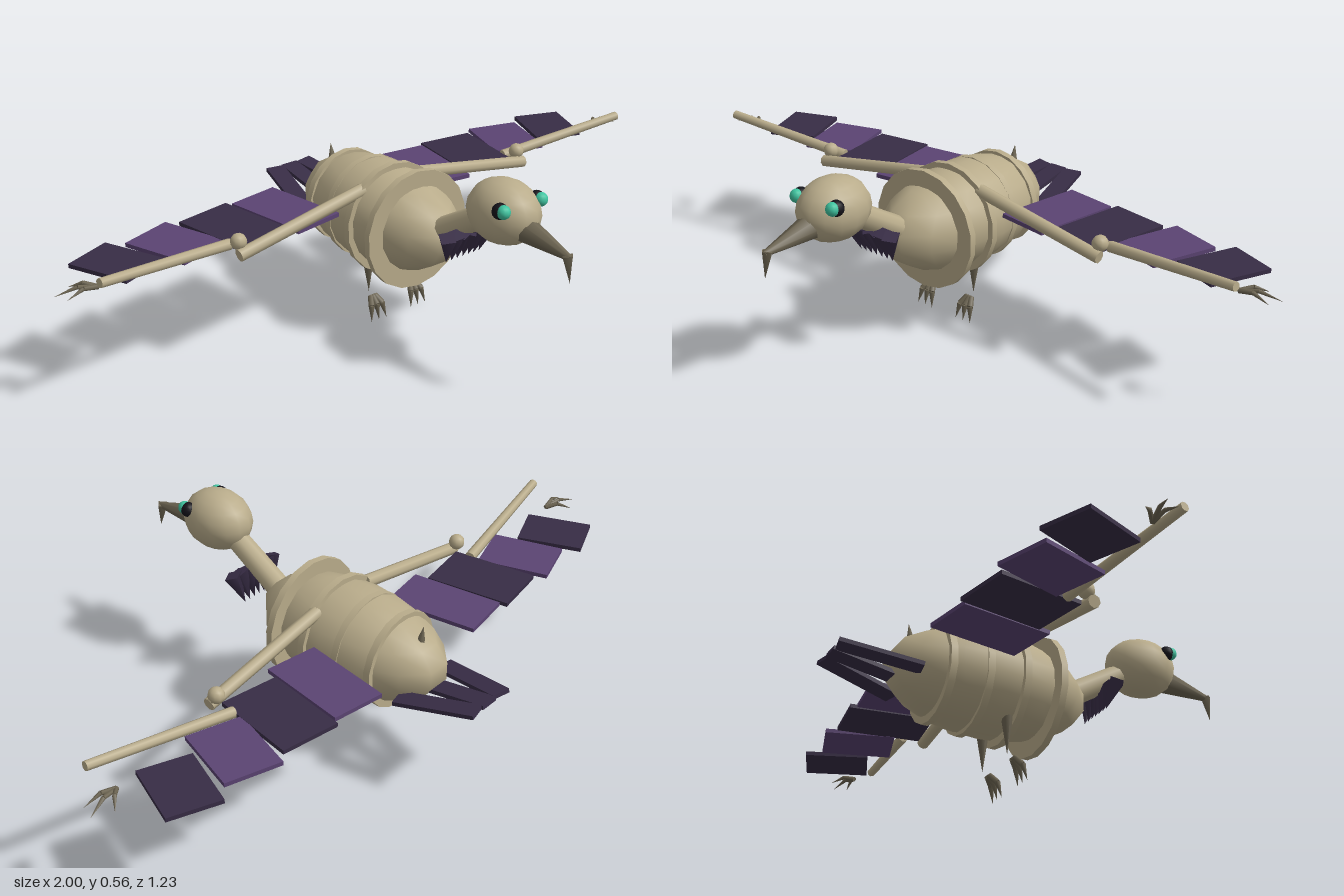
import * as THREE from 'three';

const mat = (name, color) => {
  const m = new THREE.MeshStandardMaterial({ color });
  m.name = name;
  return m;
};

export function createModel() {
  const bone = mat('bone', 0xb9ac8b);
  const horn = mat('horn', 0x6e6653);
  const darkFeather = mat('dark feather', 0x382d46);
  const purpleFeather = mat('purple feather', 0x5b4473);
  const black = mat('socket black', 0x15131a);
  const green = mat('eye green', 0x3fc4a0);

  const model = new THREE.Group();
  model.name = 'bird';
  const V = (x, y, z) => new THREE.Vector3(x, y, z);

  const add = (name, geometry, material, x = 0, y = 0, z = 0) => {
    const mesh = new THREE.Mesh(geometry, material);
    mesh.name = name;
    mesh.position.set(x, y, z);
    model.add(mesh);
    return mesh;
  };

  // Tapered rod running from a to b
  const rod = (name, a, b, ra, rb, material, sides = 8) => {
    const dir = b.clone().sub(a);
    const mid = a.clone().add(b).multiplyScalar(0.5);
    const mesh = add(name, new THREE.CylinderGeometry(rb, ra, dir.length(), sides), material, mid.x, mid.y, mid.z);
    mesh.quaternion.setFromUnitVectors(V(0, 1, 0), dir.normalize());
    return mesh;
  };

  // Body with rib hoops
  const body = add('body', new THREE.SphereGeometry(1, 14, 9), bone, 0, 0.305, -0.15);
  body.scale.set(0.156, 0.148, 0.307);
  [[0.005, 0.175], [-0.1, 0.165], [-0.205, 0.152], [-0.31, 0.14]].forEach(([z, r]) => {
    const hoop = add('ribHoop', new THREE.CylinderGeometry(r, r, 0.02, 18), bone, 0, 0.301, z);
    hoop.rotation.x = Math.PI / 2;
  });
  rod('backSpine', V(0, 0.39, -0.38), V(0, 0.438, -0.387), 0.012, 0, horn, 6);

  // Neck and head
  rod('neck', V(0, 0.32, 0.09), V(0, 0.45, 0.305), 0.036, 0.033, bone, 10);
  const head = add('head', new THREE.SphereGeometry(1, 14, 10), bone, 0, 0.478, 0.36);
  head.scale.set(0.088, 0.088, 0.11);

  // Hooked beak
  rod('beak', V(0, 0.455, 0.44), V(0, 0.432, 0.605), 0.036, 0.008, horn, 8);
  rod('beakHook', V(0, 0.437, 0.594), V(0, 0.364, 0.606), 0.018, 0, horn, 4);

  // Throat ruff: a row of pointed feathers
  for (let i = -3; i <= 3; i++) {
    const x = i * 0.026;
    rod('throatFeather', V(x, 0.375, 0.23), V(x * 0.75, 0.288, 0.203), 0.028, 0, darkFeather, 4);
  }

  // Middle tail feather
  const tailFeather = (x0, x1) => {
    const a = V(x0, 0.261, -0.385), b = V(x1, 0.3, -0.608);
    const mid = a.clone().add(b).multiplyScalar(0.5);
    const mesh = add('tailFeather', new THREE.BoxGeometry(0.056, 0.012, a.distanceTo(b)), darkFeather, mid.x, mid.y, mid.z);
    mesh.lookAt(a);
  };
  tailFeather(0, 0);

  // Wing feathers: centre x, centre z, width, length, sweep angle, material
  const feathers = [
    [0.253, -0.265, 0.157, 0.27, 0.15, purpleFeather],
    [0.426, -0.267, 0.172, 0.25, 0.16, darkFeather],
    [0.604, -0.28, 0.16, 0.207, 0.31, purpleFeather],
    [0.784, -0.278, 0.148, 0.19, 0.38, darkFeather],
  ];

  for (const s of [1, -1]) {
    // Eye and socket
    add('eyeSocket', new THREE.SphereGeometry(0.022, 12, 8), black, s * 0.064, 0.513, 0.414);
    add('eye', new THREE.SphereGeometry(0.019, 12, 8), green, s * 0.065, 0.515, 0.428);

    // Wing bones
    rod('upperWingBone', V(s * 0.1, 0.41, -0.105), V(s * 0.513, 0.334, -0.105), 0.019, 0.018, bone);
    add('wingElbow', new THREE.SphereGeometry(0.023, 10, 8), bone, s * 0.502, 0.366, -0.122);
    rod('outerWingBone', V(s * 0.497, 0.337, -0.176), V(s * 0.92, 0.385, -0.105), 0.016, 0.013, bone);

    // Flat wing feathers
    feathers.forEach(([x, z, w, l, angle, material], i) => {
      const f = add('wingFeather', new THREE.BoxGeometry(w, 0.012, l), material, s * x, 0.336 - i * 0.001, z);
      f.rotation.y = -s * angle;
    });

    // Wing tip claws
    [[0.946, -0.233], [0.998, -0.205], [0.982, -0.165]].forEach(([x, z]) => {
      const knee = V(s * (0.893 + (x - 0.893) * 0.45), 0.348, -0.174 + (z + 0.174) * 0.45);
      rod('wingClaw', V(s * 0.89, 0.338, -0.176), knee, 0.007, 0.006, horn, 6);
      rod('wingClawTip', knee, V(s * x, 0.332, z), 0.006, 0, horn, 6);
    });

    // Outer tail feather
    tailFeather(s * 0.1, s * 0.052);

    // Leg and curved toes
    rod('leg', V(s * 0.073, 0.19, -0.12), V(s * 0.073, 0.078, -0.119), 0.018, 0, horn, 8);
    [-0.027, 0, 0.027].forEach((dx) => {
      const root = V(s * 0.073 + dx * 0.3, 0.07, -0.1);
      const knee = V(s * 0.073 + dx * 0.7, 0.05, -0.082);
      rod('toe', V(root.x, 0.074, -0.103), root, 0.006, 0.008, horn, 6);
      rod('toe', root, knee, 0.008, 0.009, horn, 6);
      rod('toeClaw', knee, V(s * 0.073 + dx, 0.004, -0.072), 0.009, 0, horn, 6);
    });
  }

  return model;
}
